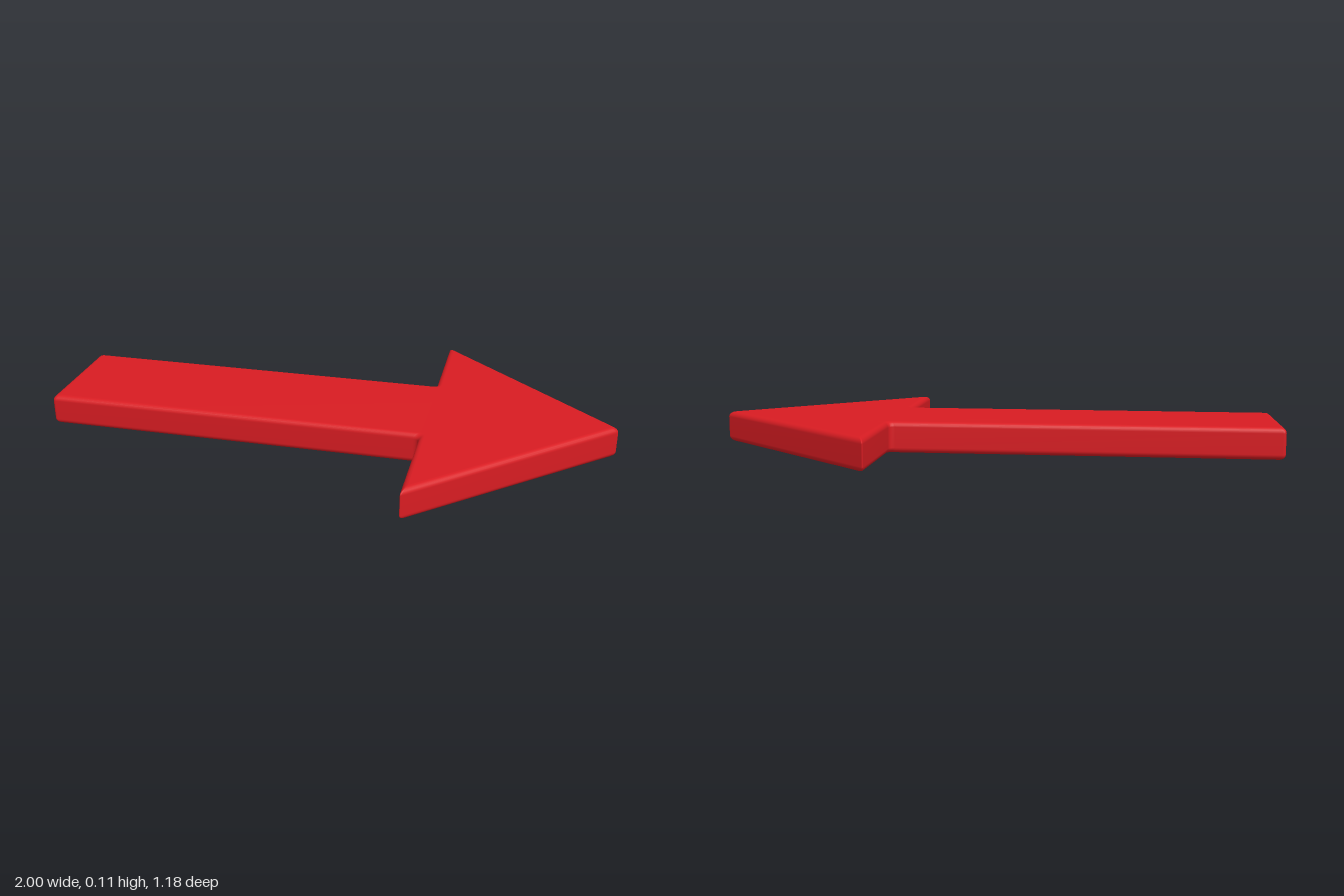
import * as THREE from 'three';

const HEIGHT = 0.11;
const BEVEL = 0.019;

// Arrow outline seen from above, counter-clockwise: x, -z, corner rounding
const CORNERS = [
  [-1, -0.207, 0.012], [0.345, -0.207, 0.022], [0.345, -0.592, 0.008],
  [1.005, 0, 0.016],
  [0.345, 0.592, 0.008], [0.345, 0.207, 0.022], [-1, 0.207, 0.012],
].map(([x, y, r]) => ({ p: new THREE.Vector2(x, y), r }));

// Outline moved inward by a distance, with every corner rounded
function insetOutline(inset) {
  const n = CORNERS.length, steps = 5, points = [];
  CORNERS.forEach(({ p, r }, i) => {
    const back = CORNERS[(i + n - 1) % n].p.clone().sub(p).normalize();
    const ahead = CORNERS[(i + 1) % n].p.clone().sub(p).normalize();
    const n1 = new THREE.Vector2(-back.y, back.x);
    const n2 = new THREE.Vector2(ahead.y, -ahead.x);
    const miter = n1.clone().add(n2).divideScalar(1 + n1.dot(n2));
    const corner = p.clone().addScaledVector(miter, -inset);
    const curve = new THREE.QuadraticBezierCurve(
      corner.clone().addScaledVector(back, r), corner, corner.clone().addScaledVector(ahead, r));
    points.push(...curve.getPoints(steps));
  });
  return points;
}

// Stack of outlines with rounded top and bottom rims, closed by flat caps
function arrowGeometry() {
  const levels = [], steps = 5;
  for (let i = 0; i <= steps; i++) {
    const a = (i / steps) * Math.PI / 2;
    levels.push([BEVEL * (1 - Math.sin(a)), BEVEL * (1 - Math.cos(a))]);
  }
  levels.push(...levels.map(([inset, y]) => [inset, HEIGHT - y]).reverse());

  const positions = [], index = [];
  const rings = levels.map(([inset, y]) => {
    const ring = insetOutline(inset);
    ring.forEach((q) => positions.push(q.x, y, -q.y));
    return ring;
  });
  const count = rings[0].length;
  for (let k = 0; k < rings.length - 1; k++) {
    for (let j = 0; j < count; j++) {
      const a = k * count + j, b = k * count + (j + 1) % count;
      index.push(a, b, b + count, a, b + count, a + count);
    }
  }
  const top = (rings.length - 1) * count;
  for (const [a, b, c] of THREE.ShapeUtils.triangulateShape(rings[0], [])) {
    index.push(a, c, b, top + a, top + b, top + c);
  }

  const geometry = new THREE.BufferGeometry();
  geometry.setAttribute('position', new THREE.Float32BufferAttribute(positions, 3));
  geometry.setIndex(index);
  geometry.computeVertexNormals();
  return geometry;
}

export function createModel() {
  const group = new THREE.Group();
  group.name = 'arrow';
  const arrow = new THREE.Mesh(arrowGeometry(), new THREE.MeshStandardMaterial({ color: 0xd81c22 }));
  arrow.name = 'arrowBody';
  group.add(arrow);
  return group;
}
